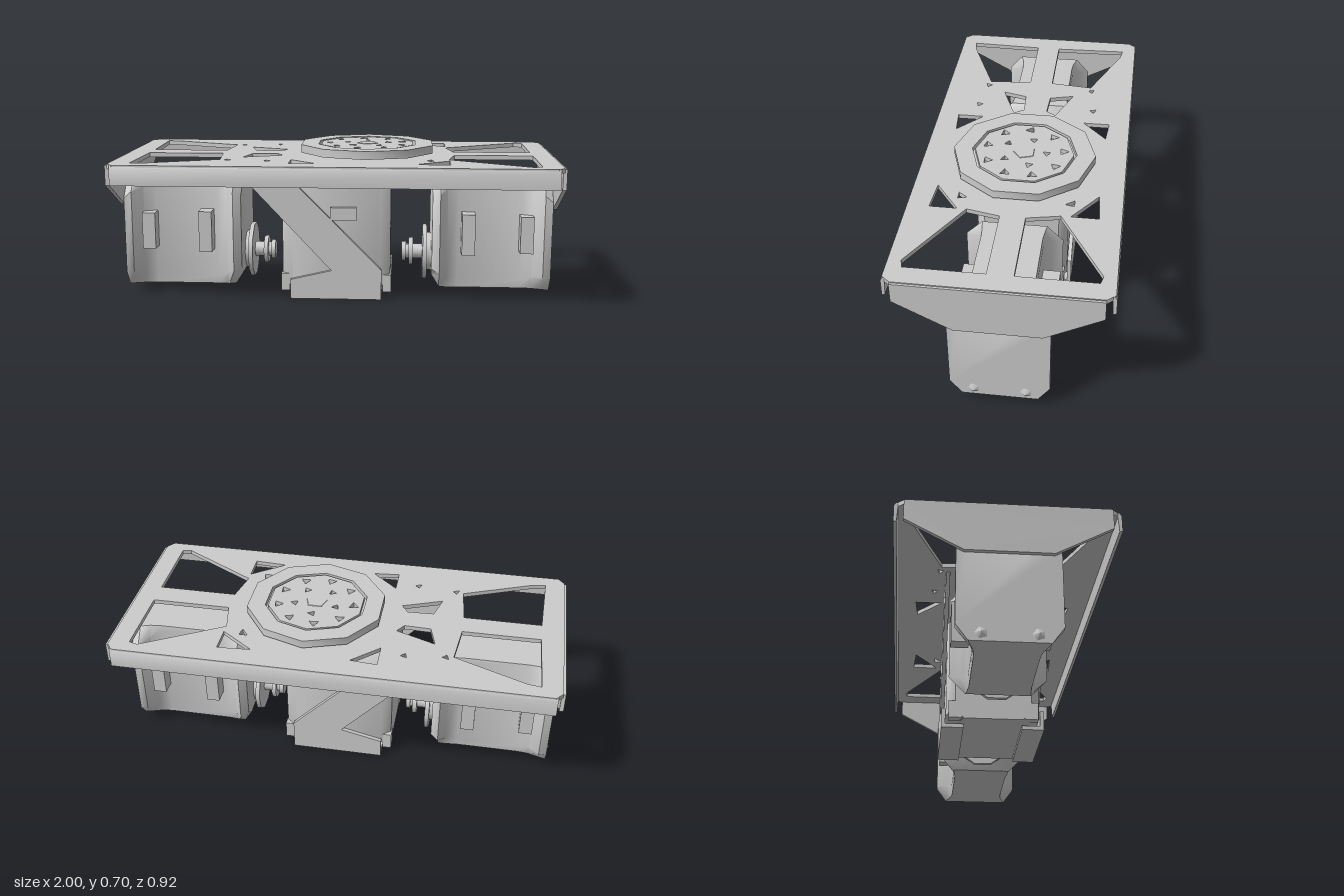
import * as THREE from 'three';
import { toCreasedNormals } from 'three/addons/utils/BufferGeometryUtils.js';

const mat = new THREE.MeshStandardMaterial({ color: 0xcccccc, side: THREE.DoubleSide });

function add(parent, name, geo, x = 0, y = 0, z = 0) {
  const m = new THREE.Mesh(toCreasedNormals(geo, 0.75), mat);
  m.name = name;
  m.position.set(x, y, z);
  parent.add(m);
  return m;
}
const box = (w, h, d) => new THREE.BoxGeometry(w, h, d);
const shapeOf = (pts) => new THREE.Shape(pts.map(([x, y]) => new THREE.Vector2(x, y)));
const pathOf = (pts) => new THREE.Path(pts.map(([x, y]) => new THREE.Vector2(x, y)));

// Flat outline (x, -z) with holes, thickened upwards
function slab(outline, holes, thick) {
  const s = shapeOf(outline);
  s.holes = holes.map(pathOf);
  return new THREE.ExtrudeGeometry(s, { depth: thick, bevelEnabled: false }).rotateX(-Math.PI / 2);
}

// Eight-sided sections joined along x: [x, side half width, bottom/top half width, yBottom, ySideLow, ySideHigh, yTop]
function loft(sections) {
  const pos = [], idx = [], n = 8;
  for (const [x, w, b, y0, y1, y2, y3] of sections) {
    const ring = [[w, y1], [w, y2], [b, y3], [-b, y3], [-w, y2], [-w, y1], [-b, y0], [b, y0]];
    for (const [z, y] of ring) pos.push(x, y, z);
  }
  const last = (sections.length - 1) * n;
  for (let s = 0; s < last; s += n)
    for (let i = 0; i < n; i++) {
      const j = (i + 1) % n;
      idx.push(s + i, s + n + i, s + n + j, s + i, s + n + j, s + j);
    }
  for (let k = 1; k < n - 1; k++) idx.push(0, k, k + 1, last, last + k + 1, last + k);
  const g = new THREE.BufferGeometry();
  g.setAttribute('position', new THREE.Float32BufferAttribute(pos, 3));
  g.setIndex(idx);
  return g;
}

// Side motor: slim body with flared ends, clips, screws and an output horn
function sideMotor(name) {
  const g = new THREE.Group();
  g.name = name;
  add(g, 'motorBody', loft([
    [0.44, 0.19, 0.13, 0.1, 0.14, 0.47, 0.52],
    [0.475, 0.21, 0.14, 0.045, 0.12, 0.49, 0.56],
    [0.51, 0.16, 0.135, 0.04, 0.1, 0.51, 0.56],
    [0.56, 0.135, 0.13, 0.04, 0.08, 0.53, 0.56],
    [0.85, 0.135, 0.13, 0.04, 0.08, 0.53, 0.56],
    [0.9, 0.16, 0.135, 0.04, 0.1, 0.51, 0.56],
    [0.945, 0.21, 0.15, 0.04, 0.11, 0.49, 0.56],
    [0.98, 0.21, 0.16, 0.04, 0.11, 0.46, 0.52]]));
  for (const s of [-1, 1]) {
    add(g, 'innerClip', box(0.06, 0.19, 0.09), 0.605, 0.305, s * 0.165);
    add(g, 'outerClip', box(0.06, 0.17, 0.075), 0.87, 0.305, s * 0.165);
    add(g, 'endScrew', new THREE.ConeGeometry(0.035, 0.02, 5).rotateZ(-Math.PI / 2), 0.985, 0.075, s * 0.11);
  }
  const horn = (r, w, x) => add(g, 'outputHorn', new THREE.CylinderGeometry(r, r, w, 10).rotateZ(Math.PI / 2), x, 0.18, 0);
  horn(0.13, 0.02, 0.41);
  horn(0.09, 0.025, 0.43);
  horn(0.035, 0.1, 0.36);
  horn(0.065, 0.02, 0.345);
  horn(0.045, 0.02, 0.312);
  return g;
}

export function createModel() {
  const model = new THREE.Group();
  model.name = 'motorBracket';

  // Top plate with cut-outs, listed for one half and mirrored
  const half = [
    [[-0.9, 0.39], [-0.84, 0.38], [-0.52, 0.25], [-0.54, 0.055], [-0.89, 0.055]],
    [[0.9, 0.39], [0.86, 0.4], [0.51, 0.2], [0.54, 0.055], [0.9, 0.055]],
    [[-0.43, 0.17], [-0.25, 0.1], [-0.28, 0.055], [-0.4, 0.06]],
    [[-0.2, 0.36], [-0.08, 0.35], [-0.2, 0.24]],
    [[0.36, 0.35], [0.51, 0.36], [0.51, 0.24]],
    [[-0.5, 0.27], [-0.47, 0.26], [-0.49, 0.24]],
    [[-0.32, 0.29], [-0.29, 0.28], [-0.31, 0.26]],
    [[0.4, 0.25], [0.44, 0.25], [0.43, 0.21]]];
  const holes = half.flatMap((h) => [h, h.map(([x, y]) => [x, -y])]);
  const outline = [[-0.96, -0.455], [0.96, -0.455], [0.99, -0.42], [0.99, 0.42],
    [0.96, 0.455], [-0.96, 0.455], [-0.99, 0.42], [-0.99, -0.42]];
  add(model, 'topPlate', slab(outline, holes, 0.02), 0, 0.63, 0);

  // Long edges folded down
  for (const s of [-1, 1]) {
    const lip = [[0.43, 0.63], [0.43, 0.65], [0.45, 0.65], [0.46, 0.635], [0.46, 0.56], [0.447, 0.56], [0.443, 0.63]];
    const geo = new THREE.ExtrudeGeometry(shapeOf(lip.map(([z, y]) => [-s * z, y])), { depth: 1.94, bevelEnabled: false });
    add(model, 'edgeLip', geo.rotateY(Math.PI / 2), -0.97, 0, 0);
  }

  // Tapered end plates
  const endPts = [[-0.42, 0.645], [0.42, 0.645], [0.42, 0.555], [0.18, 0.425], [-0.18, 0.425], [-0.42, 0.555]];
  for (const x of [-1, 0.982]) {
    const geo = new THREE.ExtrudeGeometry(shapeOf(endPts), { depth: 0.018, bevelEnabled: false });
    add(model, 'endPlate', geo.rotateY(Math.PI / 2), x, 0, 0);
  }

  // Side motors
  model.add(sideMotor('leftMotor'));
  const right = sideMotor('rightMotor');
  right.rotation.y = Math.PI;
  model.add(right);

  // Centre motor, standing upright
  add(model, 'centreMotor', loft([
    [-0.25, 0.17, 0.13, 0.03, 0.07, 0.5, 0.54],
    [-0.2, 0.21, 0.16, 0.025, 0.06, 0.52, 0.57],
    [0.2, 0.21, 0.16, 0.025, 0.06, 0.52, 0.57],
    [0.25, 0.17, 0.13, 0.03, 0.07, 0.5, 0.54]]));
  for (const x of [-0.235, 0.235])
    for (const z of [-0.17, 0.17]) add(model, 'motorFoot', box(0.04, 0.08, 0.06), x, 0.07, z);
  for (const z of [-0.215, 0.215]) add(model, 'motorClip', box(0.12, 0.06, 0.03), 0.035, 0.4, z);

  // Diagonal braces with a folded foot
  const brace = [[-0.49, 0.635], [-0.28, 0.635], [0.21, 0.14], [0.21, 0], [-0.21, 0], [-0.21, 0.09], [-0.02, 0.135]];
  for (const s of [-1, 1]) {
    const geo = new THREE.ExtrudeGeometry(shapeOf(brace), { depth: 0.018, bevelEnabled: false });
    add(model, 'diagonalBrace', geo, 0, 0, s * 0.221 - 0.009);
    add(model, 'braceFoot', box(0.42, 0.018, 0.095), 0, 0.009, s * 0.178);
  }

  // Turntable: bearing, neck, outer ring and pierced inner disc
  const cx = 0.135;
  add(model, 'bearing', new THREE.CylinderGeometry(0.2, 0.16, 0.07, 12), cx, 0.6, 0);
  add(model, 'turntableNeck', new THREE.CylinderGeometry(0.22, 0.22, 0.025, 12), cx, 0.66, 0);
  const circle = (r, n, a = 0, x = 0, y = 0) => Array.from({ length: n }, (_, i) =>
    [x + r * Math.cos(a + i * 2 * Math.PI / n), y + r * Math.sin(a + i * 2 * Math.PI / n)]);
  const pits = [];
  for (const [r, n, size] of [[0.175, 9, 0.025], [0.1, 5, 0.02]])
    for (const [x, y] of circle(r, n, 0.3)) pits.push(circle(size, 3, x * 20, x, y));
  add(model, 'turntableRing', slab(circle(0.318, 10, Math.PI / 10), [circle(0.235, 10, Math.PI / 10)], 0.037), cx, 0.663, 0);
  add(model, 'turntableDisc', slab(circle(0.222, 10, Math.PI / 10), pits, 0.028), cx, 0.67, 0);
  add(model, 'turntableFloor', new THREE.CylinderGeometry(0.26, 0.26, 0.008, 10), cx, 0.674, 0);
  add(model, 'discCap', new THREE.CylinderGeometry(0.05, 0.06, 0.01, 5), cx, 0.695, 0);

  return model;
}
